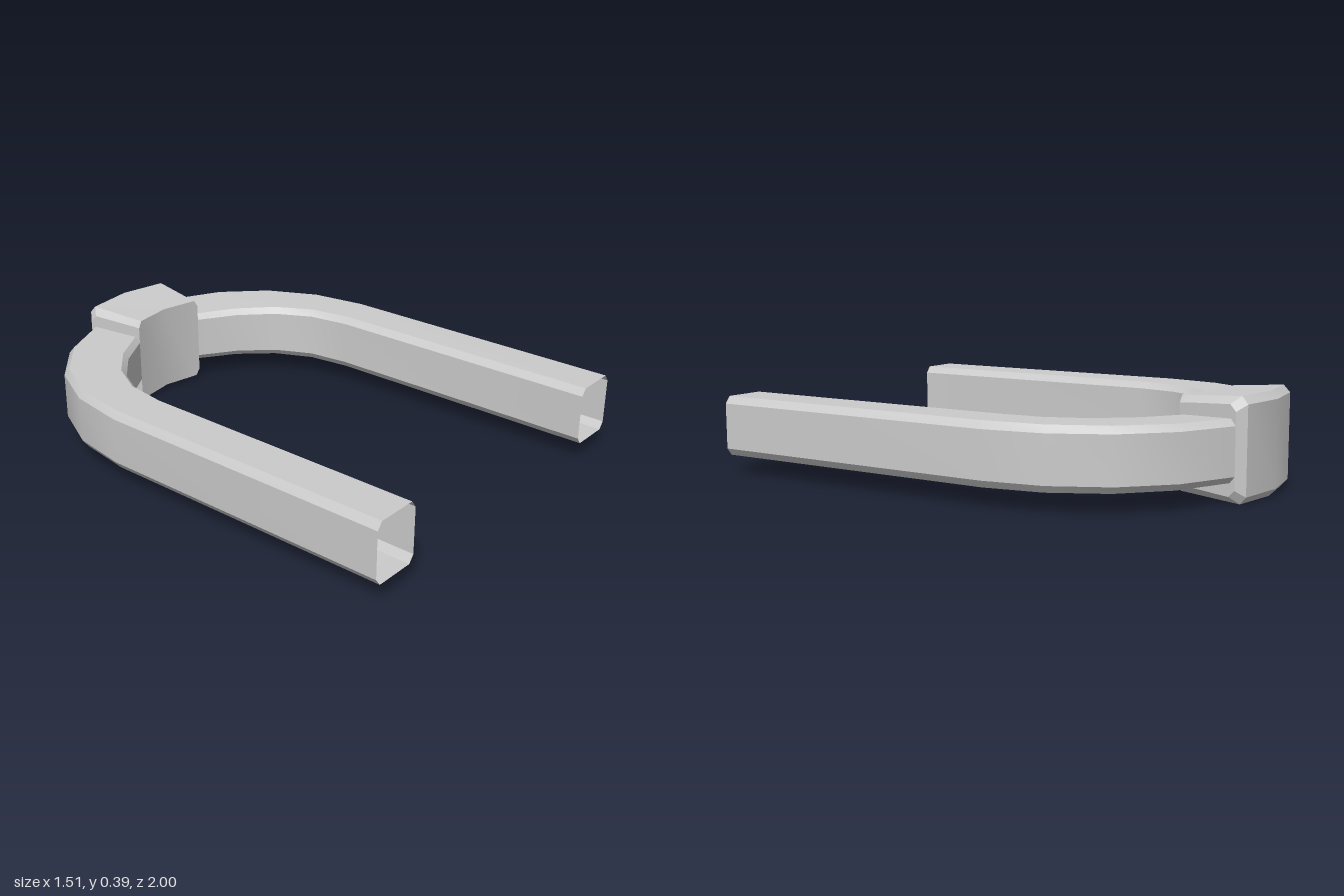
import * as THREE from 'three';
import { toCreasedNormals } from 'three/addons/utils/BufferGeometryUtils.js';

const MID = 0.194; // height of the horizontal symmetry plane

// One eight-sided section between an inner and an outer point in plan.
// Heights are measured from the symmetry plane: inner face, inner top, outer top, outer face.
function section([ix, iz, ox, oz, faceIn, topIn, topOut, faceOut, chamfer]) {
  const inner = new THREE.Vector2(ix, iz), outer = new THREE.Vector2(ox, oz);
  const step = outer.clone().sub(inner).setLength(chamfer);
  const upper = [
    [inner, faceIn],
    [inner.clone().add(step), topIn],
    [outer.clone().sub(step), topOut],
    [outer, faceOut],
  ];
  const lower = upper.map(([p, h]) => [p, -h]).reverse();
  return [...upper, ...lower].map(([p, h]) => [p.x, MID + h, p.y]);
}

// Skin a list of sections, leaving both ends open
function loft(rings) {
  const n = rings[0].length, index = [];
  for (let i = 0; i < rings.length - 1; i++) {
    for (let j = 0; j < n; j++) {
      const a = i * n + j, b = i * n + (j + 1) % n;
      index.push(a, b, b + n, a, b + n, a + n);
    }
  }
  const geometry = new THREE.BufferGeometry();
  geometry.setAttribute('position', new THREE.Float32BufferAttribute(rings.flat(2), 3));
  geometry.setIndex(index);
  return toCreasedNormals(geometry, 0.45);
}

// Plan of one half: innerX, innerZ, outerX, outerZ
const armPlan = [
  [0.55, 1, 0.753, 1],
  [0.55, -0.16, 0.753, -0.22],
  [0.525, -0.33, 0.715, -0.455],
  [0.45, -0.477, 0.61, -0.667],
  [0.328, -0.6, 0.445, -0.83],
  [0.175, -0.695, 0.228, -0.937],
];

export function createModel() {
  const group = new THREE.Group();
  const material = new THREE.MeshStandardMaterial({ color: 0xcccccc, side: THREE.DoubleSide });
  const add = (name, stations) => {
    const mesh = new THREE.Mesh(loft(stations.map(section)), material);
    mesh.name = name;
    group.add(mesh);
  };
  const mirror = ([ix, iz, ox, oz, ...rest]) => [-ix, iz, -ox, oz, ...rest];

  // Arms: chamfered hollow bars, slightly thinner on the inside near the block
  const arm = armPlan.map((p, i) => {
    const thin = 0.0025 * Math.max(0, i - 1);
    return [...p, 0.09 - thin / 2, 0.118 - thin, 0.118 - thin / 3, 0.09, 0.021];
  });
  add('leftArm', arm);
  add('rightArm', arm.map(mirror).reverse());

  // Centre block: starts on the arm ends, steps out to the flanges, chamfered on the outside
  const half = [
    arm[arm.length - 1],
    [0.175, -0.695, 0.228, -0.937, 0.15, 0.153, 0.165, 0.14, 0.025],
    [0.158, -0.698, 0.2, -0.97, 0.178, 0.179, 0.193, 0.165, 0.025],
  ];
  const centre = [0, -0.725, 0, -1, 0.178, 0.179, 0.194, 0.165, 0.025];
  add('centreBlock', [...half, centre, ...half.map(mirror).reverse()]);

  return group;
}
